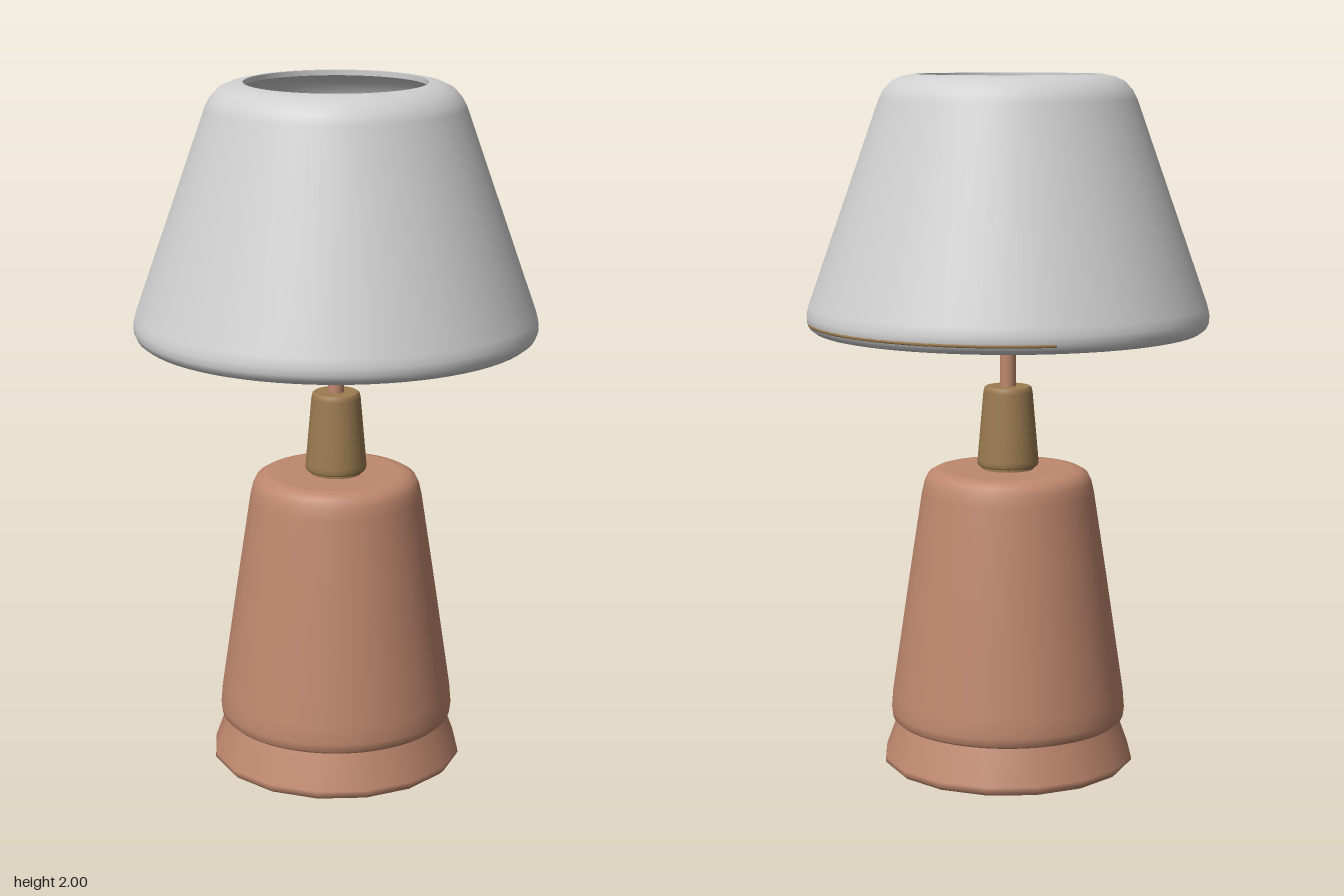
import * as THREE from 'three';

export function createModel() {
  const lamp = new THREE.Group();
  lamp.name = 'tableLamp';

  const mat = (name, color, side = THREE.FrontSide) => {
    const m = new THREE.MeshStandardMaterial({ color, side });
    m.name = name;
    return m;
  };
  const copper = mat('copper', 0xbf886e);
  const brass = mat('brass', 0x9b7b50);
  const white = mat('shadeWhite', 0xd0d0d0, THREE.DoubleSide);

  const add = (name, geometry, material) => {
    const mesh = new THREE.Mesh(geometry, material);
    mesh.name = name;
    lamp.add(mesh);
    return mesh;
  };
  // Repeating a profile point keeps that edge sharp
  const lathe = (name, points, material, sides = 64) =>
    add(name, new THREE.LatheGeometry(points.map(([r, y]) => new THREE.Vector2(r, y)), sides), material);

  // Faceted plinth
  lathe('plinth', [
    [0, 0], [0.355, 0], [0.355, 0], [0.367, 0.012], [0.365, 0.025],
    [0.325, 0.135], [0.325, 0.135], [0, 0.135],
  ], copper, 16);

  // Tapered body with rounded shoulder
  lathe('body', [
    [0, 0.13], [0.33, 0.13], [0.33, 0.13], [0.339, 0.138], [0.342, 0.16], [0.338, 0.21],
    [0.288, 0.55], [0.25, 0.8], [0.242, 0.835], [0.231, 0.857], [0.212, 0.868],
    [0.19, 0.871], [0.19, 0.871], [0, 0.871],
  ], copper);

  // Brass neck with a narrow foot
  lathe('neck', [
    [0.075, 0.865], [0.075, 0.88], [0.075, 0.88], [0.084, 0.88], [0.088, 0.885], [0.088, 0.9],
    [0.071, 1.095], [0.068, 1.108], [0.063, 1.112], [0.063, 1.112], [0, 1.112],
  ], brass, 32);

  // Stem and bulb socket
  const stem = add('stem', new THREE.CylinderGeometry(0.023, 0.023, 0.28, 20), copper);
  stem.position.y = 1.23;
  lathe('socket', [
    [0, 1.325], [0.042, 1.325], [0.042, 1.325], [0.048, 1.332], [0.048, 1.45],
    [0.043, 1.457], [0.043, 1.457], [0, 1.457],
  ], copper, 24);

  // Bulb: flared neck running into a sphere
  const bulb = [[0.03, 1.45], [0.045, 1.46], [0.06, 1.49]];
  for (let i = 0; i <= 14; i++) {
    const a = -0.55 + (i / 14) * (Math.PI / 2 + 0.55);
    bulb.push([0.107 * Math.cos(a), 1.61 + 0.107 * Math.sin(a)]);
  }
  lathe('bulb', bulb, white, 32);

  // Three spokes carrying the shade
  for (let i = 0; i < 3; i++) {
    const a = (i * Math.PI * 2) / 3;
    const path = new THREE.LineCurve3(
      new THREE.Vector3(Math.sin(a) * 0.03, 1.36, Math.cos(a) * 0.03),
      new THREE.Vector3(Math.sin(a) * 0.54, 1.335, Math.cos(a) * 0.54));
    add('spoke' + (i + 1), new THREE.TubeGeometry(path, 1, 0.006, 8), copper);
  }

  // Hollow shade: inner wall, rolled lip, outer wall, rounded top
  lathe('shade', [
    [0.258, 1.985], [0.29, 1.98], [0.322, 1.955], [0.342, 1.915], [0.545, 1.34],
    [0.54, 1.305], [0.525, 1.287], [0.528, 1.279], [0.555, 1.279], [0.568, 1.289],
    [0.575, 1.305], [0.575, 1.325], [0.569, 1.35], [0.365, 1.93], [0.352, 1.955],
    [0.33, 1.98], [0.3, 1.994], [0.27, 2], [0.258, 2], [0.258, 2], [0.258, 1.985],
  ], white, 72);

  // Thin trim showing along one quarter of the rim
  const trim = add('rimTrim', new THREE.TorusGeometry(0.572, 0.005, 6, 24, Math.PI / 2), brass);
  trim.rotation.x = -Math.PI / 2;
  trim.position.y = 1.303;

  return lamp;
}
